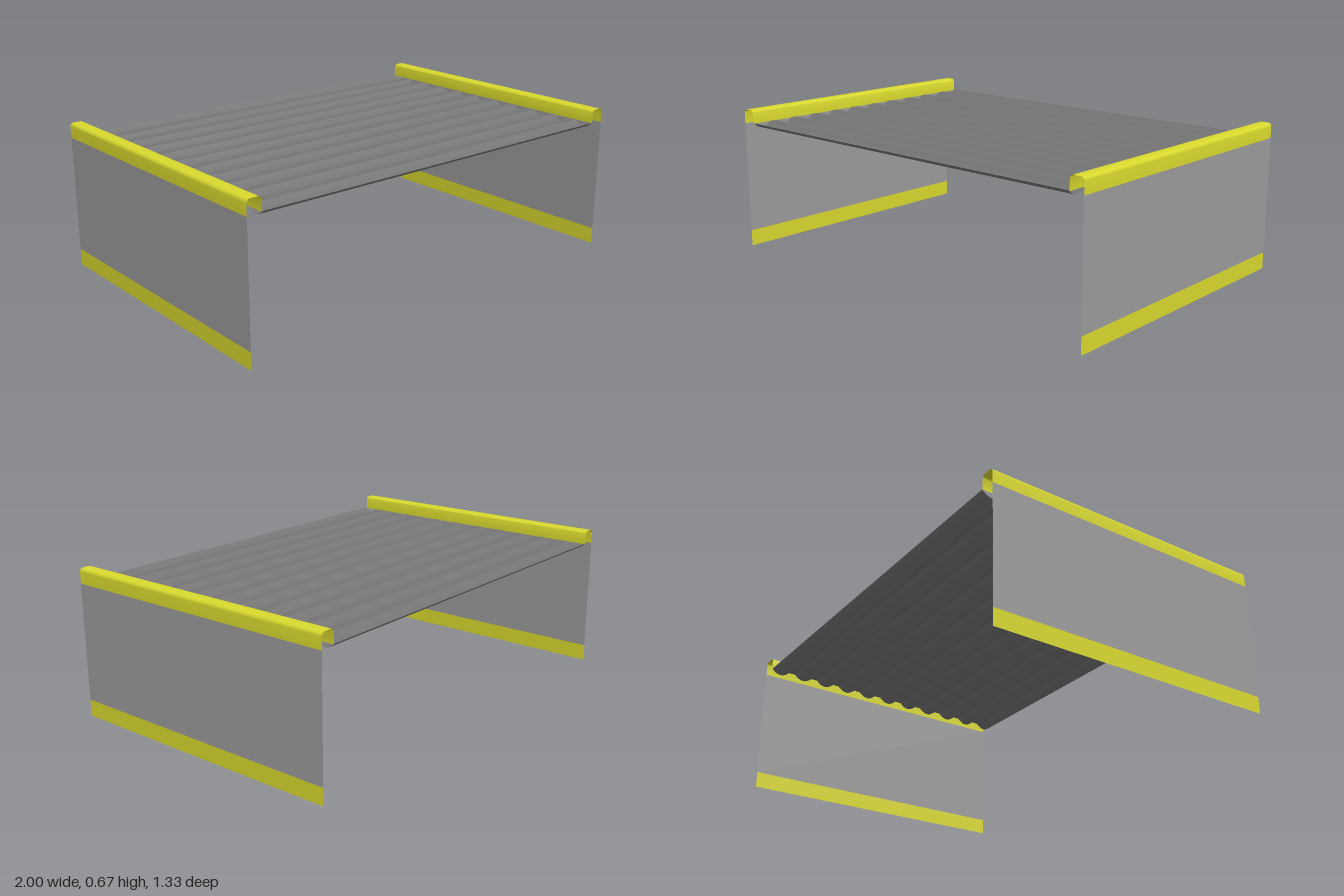
import * as THREE from 'three';
import { toCreasedNormals } from 'three/addons/utils/BufferGeometryUtils.js';

const HALF_DEPTH = 0.667;
const HALF_DECK = 0.932;
const DECK_TOP = 0.607;

// Open sheet swept from a to b, with at(u, v, t) placing a profile point (u, v).
function sheet(profile, a, b, at) {
  const pos = [], index = [];
  profile.forEach(([u, v]) => pos.push(...at(u, v, a), ...at(u, v, b)));
  for (let i = 0; i < profile.length - 1; i++) {
    const k = i * 2;
    index.push(k, k + 1, k + 2, k + 2, k + 1, k + 3);
  }
  const geometry = new THREE.BufferGeometry();
  geometry.setAttribute('position', new THREE.Float32BufferAttribute(pos, 3));
  geometry.setIndex(index);
  return toCreasedNormals(geometry, 0.6);
}

function material(name, color) {
  const m = new THREE.MeshStandardMaterial({ color, side: THREE.DoubleSide });
  m.name = name;
  return m;
}

// Corrugated deck profile in (z, y): wide curved channels between narrow flat ribs.
function deckProfile() {
  const channels = 11, steps = 8, sag = 0.023;
  const rib = 0.033;
  const width = (2 * HALF_DEPTH - rib * (channels - 1)) / channels;
  const points = [];
  for (let c = 0; c < channels; c++) {
    const z0 = -HALF_DEPTH + c * (width + rib);
    for (let i = 0; i <= steps; i++) {
      const t = i / steps;
      points.push([z0 + t * width, DECK_TOP - sag * 4 * t * (1 - t)]);
    }
  }
  return points;
}

// Rounded rail profile in (x, y): up the outside, over the top, down the inside.
function railProfile() {
  const r = 0.016, outer = 1, inner = 0.935, top = 0.667, steps = 5;
  const points = [[outer, 0.6]];
  for (let i = 0; i <= steps; i++) {
    const a = (i / steps) * Math.PI / 2;
    points.push([outer - r + r * Math.cos(a), top - r + r * Math.sin(a)]);
  }
  for (let i = 0; i <= steps; i++) {
    const a = Math.PI / 2 + (i / steps) * Math.PI / 2;
    points.push([inner + r + r * Math.cos(a), top - r + r * Math.sin(a)]);
  }
  points.push([inner, 0.605]);
  return points;
}

export function createModel() {
  const model = new THREE.Group();
  model.name = 'bridgeSection';
  const yellow = material('yellow', 0xd8d82e);
  const wallGrey = material('wallGrey', 0x9b9b9b);
  const deckGrey = material('deckGrey', 0x747474);

  const add = (parent, name, geometry, mat) => {
    const mesh = new THREE.Mesh(geometry, mat);
    mesh.name = name;
    parent.add(mesh);
  };

  // Corrugated deck, swept across x
  add(model, 'deck',
    sheet(deckProfile(), -HALF_DECK, HALF_DECK, (z, y, x) => [x, y, z]), deckGrey);

  // Side walls with a yellow skirt and a folded yellow rail
  for (const s of [1, -1]) {
    const side = new THREE.Group();
    side.name = s > 0 ? 'leftSide' : 'rightSide';
    const place = (x, y, z) => [s * x, y, s * z];
    const part = (name, profile, mat) =>
      add(side, name, sheet(profile, HALF_DEPTH, -HALF_DEPTH, place), mat);
    part('skirt', [[1, 0], [1, 0.075]], yellow);
    part('wall', [[1, 0.075], [1, 0.6]], wallGrey);
    part('rail', railProfile(), yellow);
    model.add(side);
  }
  return model;
}
